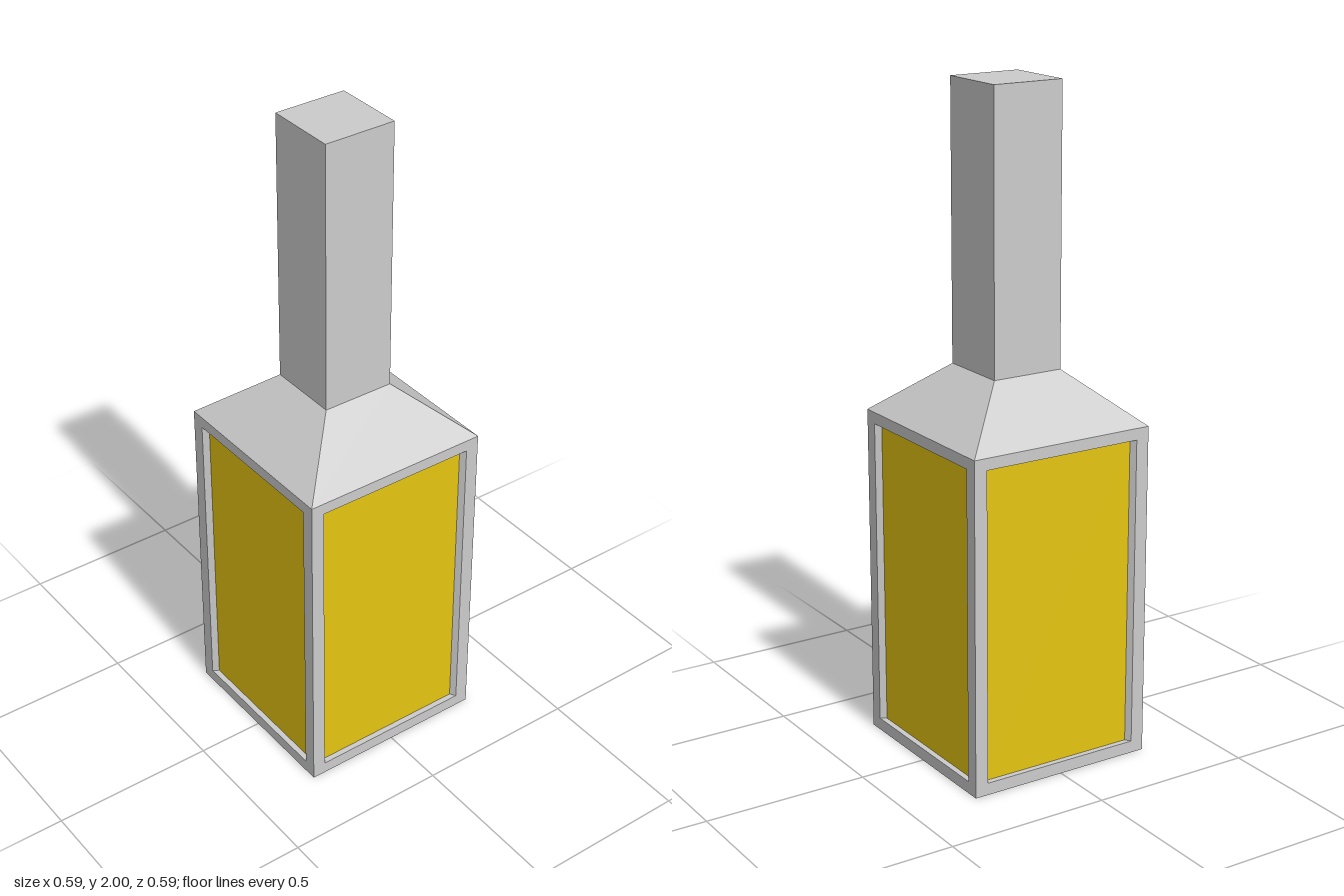
import * as THREE from 'three';

const HALF = 0.295, BODY_TOP = 1.015, DEPTH = 0.018;
const OPEN = { half: 0.254, back: 0.243, low: 0.037, high: 0.98 };

const grey = new THREE.MeshStandardMaterial({ color: 0xcccccc, flatShading: true });
const yellow = new THREE.MeshStandardMaterial({ color: 0xe6c512, flatShading: true });

function addMesh(parent, name, geometry, material, y = 0, z = 0) {
  const mesh = new THREE.Mesh(geometry, material);
  mesh.name = name;
  mesh.position.set(0, y, z);
  parent.add(mesh);
  return mesh;
}

function trace(path, half, low, high) {
  path.moveTo(-half, low);
  path.lineTo(half, low);
  path.lineTo(half, high);
  path.lineTo(-half, high);
  path.closePath();
  return path;
}

// Window frame: mitred at the body corners, its opening narrowing inwards
function frameGeometry() {
  const shape = trace(new THREE.Shape(), HALF, 0, BODY_TOP);
  shape.holes.push(trace(new THREE.Path(), OPEN.half, OPEN.low, OPEN.high));
  const geometry = new THREE.ExtrudeGeometry(shape, { depth: DEPTH, bevelEnabled: false });
  const pos = geometry.attributes.position;
  for (let i = 0; i < pos.count; i++) {
    if (pos.getZ(i) > DEPTH / 2) continue;
    const x = pos.getX(i);
    const outer = Math.abs(x) > (HALF + OPEN.half) / 2;
    pos.setX(i, Math.sign(x) * (outer ? HALF - DEPTH : OPEN.back));
  }
  geometry.computeVertexNormals();
  return geometry;
}

export function createModel() {
  const model = new THREE.Group();
  model.name = 'lantern';

  // Four identical framed windows
  const frame = frameGeometry();
  const pane = new THREE.PlaneGeometry(OPEN.back * 2, OPEN.high - OPEN.low);
  for (let i = 0; i < 4; i++) {
    const side = new THREE.Group();
    side.name = 'windowSide' + (i + 1);
    side.rotation.y = i * Math.PI / 2;
    addMesh(side, 'windowFrame', frame, grey, 0, HALF - DEPTH);
    addMesh(side, 'windowPane', pane, yellow, (OPEN.low + OPEN.high) / 2, HALF - DEPTH);
    model.add(side);
  }

  // Floor between the frames
  const inner = (HALF - DEPTH) * 2;
  addMesh(model, 'floor', new THREE.BoxGeometry(inner, 0.03, inner), grey, 0.015);

  // Sloping square roof
  const stemHalf = 0.1125, roofTop = 1.17;
  const roof = new THREE.CylinderGeometry(stemHalf * Math.SQRT2, HALF * Math.SQRT2, roofTop - BODY_TOP, 4);
  roof.rotateY(Math.PI / 4);
  addMesh(model, 'roof', roof, grey, (roofTop + BODY_TOP) / 2);

  // Square stem
  addMesh(model, 'stem', new THREE.BoxGeometry(stemHalf * 2, 2 - roofTop, stemHalf * 2), grey, (2 + roofTop) / 2);

  return model;
}
